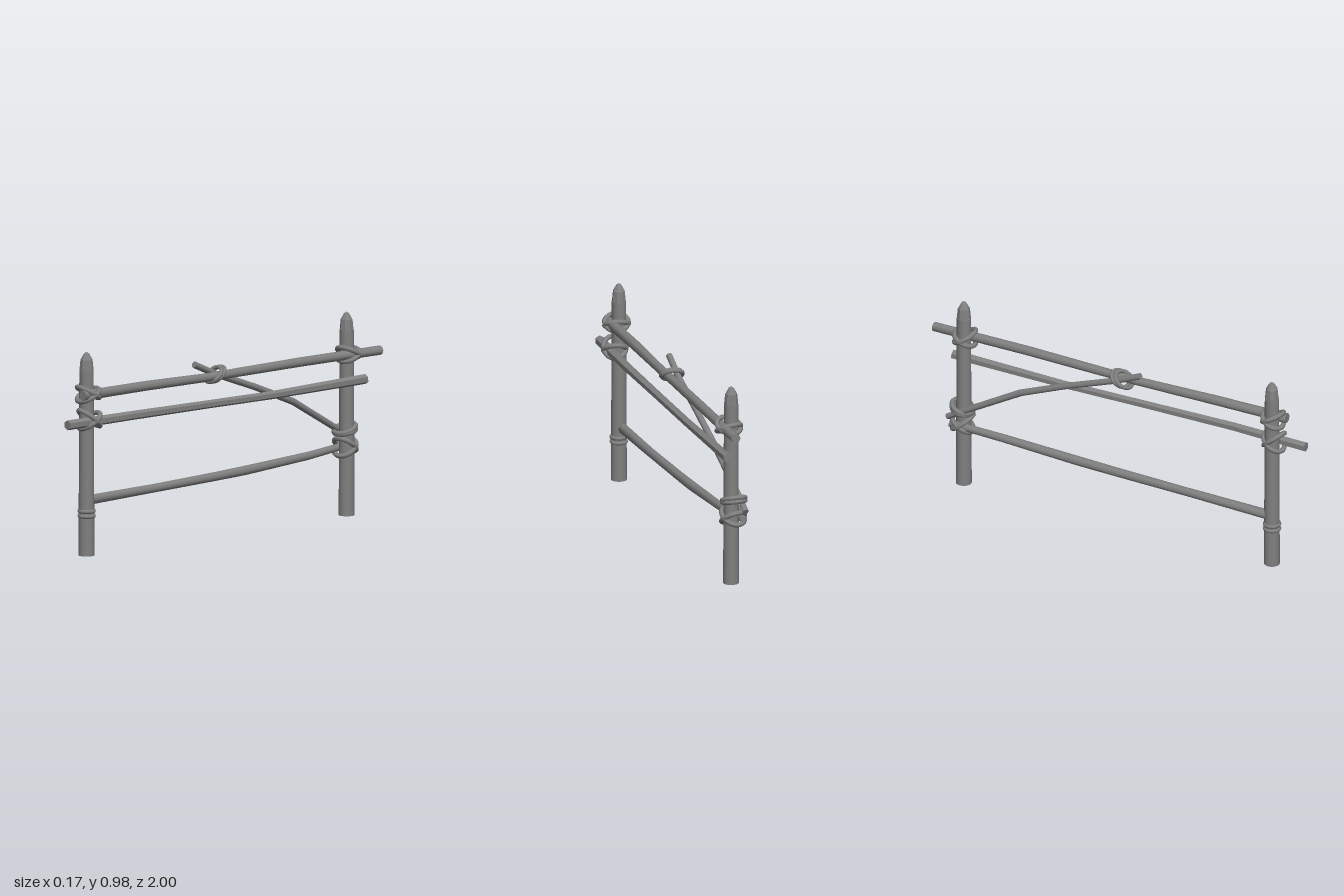
import * as THREE from 'three';
import { toCreasedNormals } from 'three/addons/utils/BufferGeometryUtils.js';

const material = new THREE.MeshStandardMaterial({ color: 0x808080 });
material.name = 'weatheredGrey';

function addMesh(parent, name, geometry) {
  const mesh = new THREE.Mesh(geometry, material);
  mesh.name = name;
  parent.add(mesh);
  return mesh;
}

// Rough pole through knots [x, y, z, radius]: a cylinder bent row by row
function pole(knots, sides) {
  const rows = knots.length - 1;
  const points = knots.map(([x, y, z]) => new THREE.Vector3(x, y, z));
  const geometry = new THREE.CylinderGeometry(1, 1, rows, sides, rows);
  const position = geometry.attributes.position;
  const v = new THREE.Vector3();
  for (let k = 0; k < position.count; k++) {
    v.fromBufferAttribute(position, k);
    const i = Math.round(v.y + rows / 2);
    const along = points[Math.min(i + 1, rows)].clone().sub(points[Math.max(i - 1, 0)]).normalize();
    const up = new THREE.Vector3(1, 0, 0).cross(along).normalize();
    const side = along.clone().cross(up);
    const radius = knots[i][3];
    const p = points[i].clone().addScaledVector(side, v.x * radius).addScaledVector(up, v.z * radius);
    position.setXYZ(k, p.x, p.y, p.z);
  }
  return toCreasedNormals(geometry, 0.9);
}

// Closed rope loop; u and w are its two half-axis vectors
function ropeLoop(center, u, w, thickness = 0.012) {
  const points = [];
  for (let i = 0; i < 16; i++) {
    const a = (i / 16) * Math.PI * 2;
    points.push(new THREE.Vector3(...center.map((c, k) => c + u[k] * Math.cos(a) + w[k] * Math.sin(a))));
  }
  return new THREE.TubeGeometry(new THREE.CatmullRomCurve3(points, true), 32, thickness, 8, true);
}

// Post with a roughly hewn point
function post(name, z, turn) {
  const group = new THREE.Group();
  group.name = name;
  group.position.set(-0.003, 0, z);
  const shaft = new THREE.CylinderGeometry(0.034, 0.038, 0.89, 16);
  addMesh(group, 'postShaft', toCreasedNormals(shaft, 0.9)).position.y = 0.445;
  const profile = [[0.034, 0.888], [0.029, 0.94], [0.012, 0.97], [0, 0.978]];
  const tip = new THREE.LatheGeometry(profile.map(([r, y]) => new THREE.Vector2(r, y)), 8);
  addMesh(group, 'hewnTip', toCreasedNormals(tip, 0.3)).rotation.y = turn;
  return group;
}

export function createModel() {
  const model = new THREE.Group();
  model.name = 'lashedFence';
  const frontZ = 0.84, backZ = -0.82;
  model.add(post('frontPost', frontZ, 0.2), post('backPost', backZ, 0.6));

  // Rails and diagonal brace
  addMesh(model, 'topRail', pole([
    [0.037, 0.778, 0.9, 0.025], [0.032, 0.778, 0.5, 0.024], [0.03, 0.772, 0.1, 0.021],
    [0.03, 0.774, -0.1, 0.022], [0.034, 0.778, -0.5, 0.023], [0.034, 0.776, -1, 0.023]], 8));
  addMesh(model, 'middleRail', pole([
    [0.04, 0.648, 1, 0.024], [0.05, 0.65, 0.6, 0.022], [0.046, 0.646, 0.1, 0.02],
    [0.042, 0.642, -0.3, 0.02], [0.04, 0.65, -0.9, 0.024]], 6));
  addMesh(model, 'lowerRail', pole([
    [-0.012, 0.262, 0.82, 0.024], [-0.012, 0.27, 0.4, 0.021], [-0.016, 0.28, 0, 0.022],
    [-0.018, 0.287, -0.2, 0.023], [-0.026, 0.308, -0.6, 0.02], [-0.048, 0.328, -0.87, 0.018]], 8));
  addMesh(model, 'diagonalBrace', pole([
    [-0.018, 0.832, 0.14, 0.016], [-0.016, 0.77, 0, 0.016], [-0.022, 0.68, -0.25, 0.016],
    [-0.03, 0.58, -0.5, 0.017], [-0.052, 0.412, -0.8, 0.016], [-0.056, 0.365, -0.88, 0.015]], 8));

  // Crossed lashings: [name, x, y, z, half width, slopes along z, slope along x]
  const lashings = [
    ['frontTopLashing', 0.009, 0.778, frontZ, 0.057, [0.028, -0.028], -0.006],
    ['frontMiddleLashing', 0.018, 0.655, frontZ, 0.054, [0.04, -0.034], -0.008],
    ['backTopLashing', 0.009, 0.778, backZ, 0.057, [0.028, -0.026], 0.006],
    ['backBraceLashing', -0.016, 0.41, backZ, 0.055, [-0.02, -0.012], 0],
    ['backLowerLashing', -0.013, 0.33, backZ, 0.056, [0.036, -0.034], 0.008],
  ];
  for (const [name, x, y, z, half, slopes, lean] of lashings) {
    const group = new THREE.Group();
    group.name = name;
    slopes.forEach((slope, i) => {
      const shift = i ? -0.006 : 0.006;
      addMesh(group, 'ropeLoop', ropeLoop([x, y + shift, z],
        [half, i ? -lean : lean, 0], [0, slope, 0.048]));
    });
    model.add(group);
  }

  // Plain rope rings low on the front post
  for (const y of [0.19, 0.214]) {
    addMesh(model, 'ropeRing', ropeLoop([-0.002, y, frontZ], [0.034, 0, 0], [0, 0, 0.034], 0.01));
  }

  // Slanted binding where the brace meets the top rail
  for (const dz of [0, 0.02]) {
    addMesh(model, 'braceBinding', ropeLoop([0.007, 0.776, 0.018 + dz],
      [0.048, 0, 0.006], [0, 0.032, -0.034], 0.01));
  }
  return model;
}
